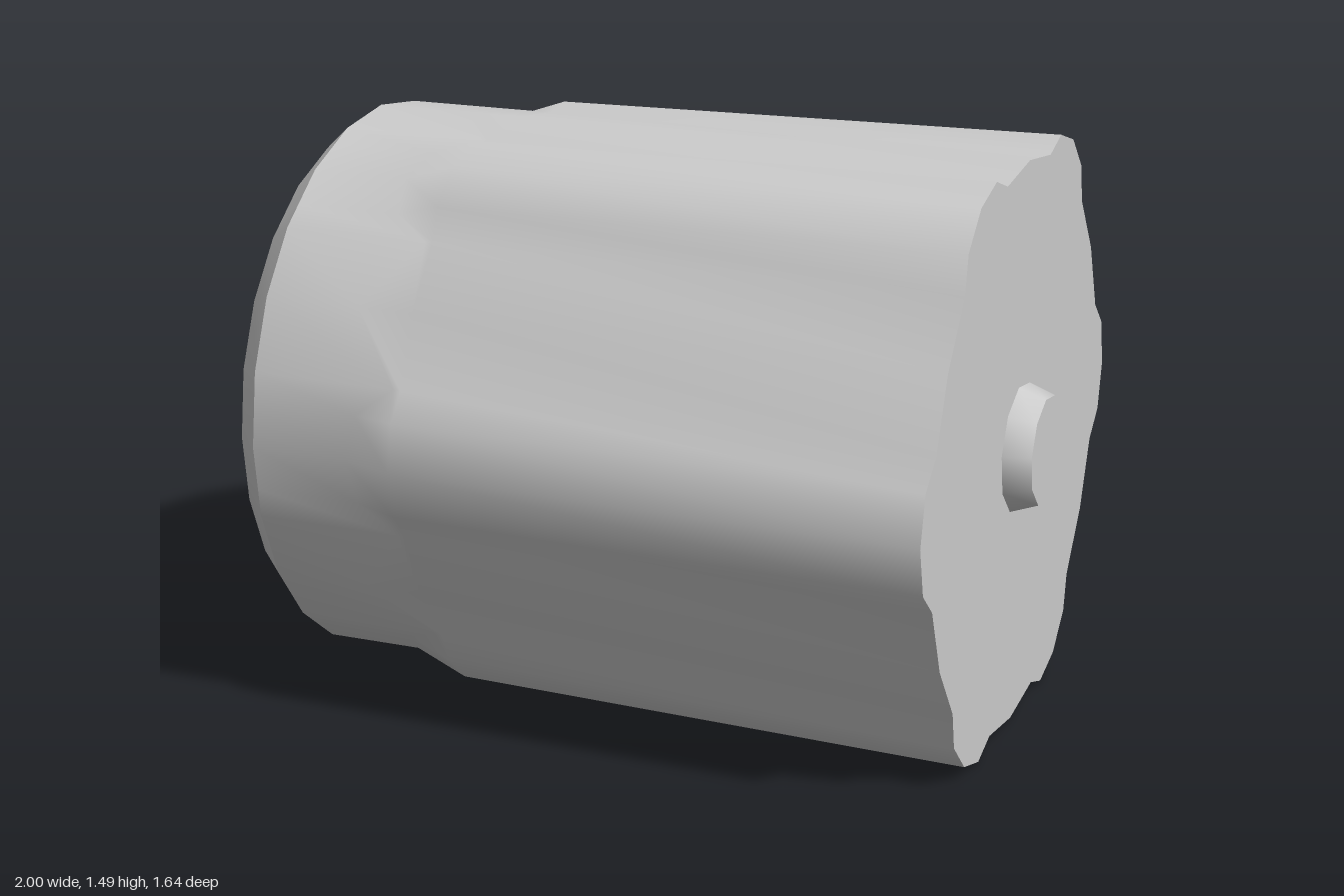
import * as THREE from 'three';

const AXIS_Y = 0.75; // height of the drum's axis, which runs along x
const END_X = 0.93;
const R = 0.74;

// Smooth skin through rings of [x, radius, angle] points
function loft(rings) {
  const n = rings[0].length, pos = [], idx = [];
  for (const ring of rings)
    for (const [x, r, a] of ring) pos.push(x, r * Math.sin(a), r * Math.cos(a));
  for (let i = 0; i < rings.length - 1; i++)
    for (let j = 0; j < n; j++) {
      const k = (j + 1) % n, a = i * n, b = a + n;
      idx.push(a + j, b + j, a + k, b + j, b + k, a + k);
    }
  return finish(pos, idx);
}

// Flat end face; side is +1 or -1 along x
function cap(ring, side) {
  const n = ring.length, pos = [ring[0][0], 0, 0], idx = [];
  for (const [x, r, a] of ring) pos.push(x, r * Math.sin(a), r * Math.cos(a));
  for (let j = 0; j < n; j++) {
    const p = 1 + j, q = 1 + (j + 1) % n;
    idx.push(0, ...(side > 0 ? [q, p] : [p, q]));
  }
  return finish(pos, idx);
}

function finish(pos, idx) {
  const g = new THREE.BufferGeometry();
  g.setAttribute('position', new THREE.Float32BufferAttribute(pos, 3));
  g.setIndex(idx);
  g.computeVertexNormals();
  return g;
}

// One sixth of the outline: angle, lift of the rib, start of the rib's nose, base radius factor
const chord = Math.cos(Math.PI / 24) / Math.cos(Math.PI / 120);
const SECTOR = [
  [-15, 0, -0.47, 1],
  [-9, 0.066, -0.575, chord],
  [0, 0.08, -0.6, 1],
  [9, 0.066, -0.575, chord],
  [15, 0, -0.47, 1],
  [30, 0, -0.6, 1],
];

// Ring of 36 points; x = null follows the rounded rib noses
function drumRing(x, radius, lift) {
  const ring = [];
  for (let s = 0; s < 6; s++)
    for (const [deg, h, nose, f] of SECTOR)
      ring.push([x ?? nose, radius * f + h * lift, THREE.MathUtils.degToRad(deg + s * 60)]);
  return ring;
}

// Ten-sided ring for the axle stubs
function stubRing(x, radius) {
  return Array.from({ length: 10 }, (_, i) => [x, radius, THREE.MathUtils.degToRad(8 + i * 36)]);
}

export function createModel() {
  const model = new THREE.Group();
  model.name = 'flutedDrum';
  const grey = new THREE.MeshStandardMaterial({ color: 0xcccccc });
  grey.name = 'grey metal';
  const axis = new THREE.Group();
  axis.name = 'drumOnAxis';
  axis.position.y = AXIS_Y;
  model.add(axis);
  const add = (name, geometry) => {
    const mesh = new THREE.Mesh(geometry, grey);
    mesh.name = name;
    axis.add(mesh);
  };

  // Drum wall with six raised ribs that grow slightly towards +x
  const rim = drumRing(-0.86, R, 0);
  const ribEnd = drumRing(END_X, R, 1);
  add('ribbedWall', loft([rim, drumRing(null, R, 0), drumRing(-0.45, R, 0.69), ribEnd]));

  // Bevelled rim and the two end faces
  const bevelEnd = drumRing(-END_X, 0.675, 0);
  add('bevelledRim', loft([bevelEnd, rim]));
  add('plainEndFace', cap(bevelEnd, -1));
  add('ribbedEndFace', cap(ribEnd, 1));

  // Tapered axle stubs
  for (const side of [1, -1]) {
    const base = stubRing(side * END_X, 0.167), tip = stubRing(side, 0.142);
    const name = side > 0 ? 'left' : 'right';
    add(name + 'AxleStub', loft(side > 0 ? [base, tip] : [tip, base]));
    add(name + 'AxleStubFace', cap(tip, side));
  }
  return model;
}
